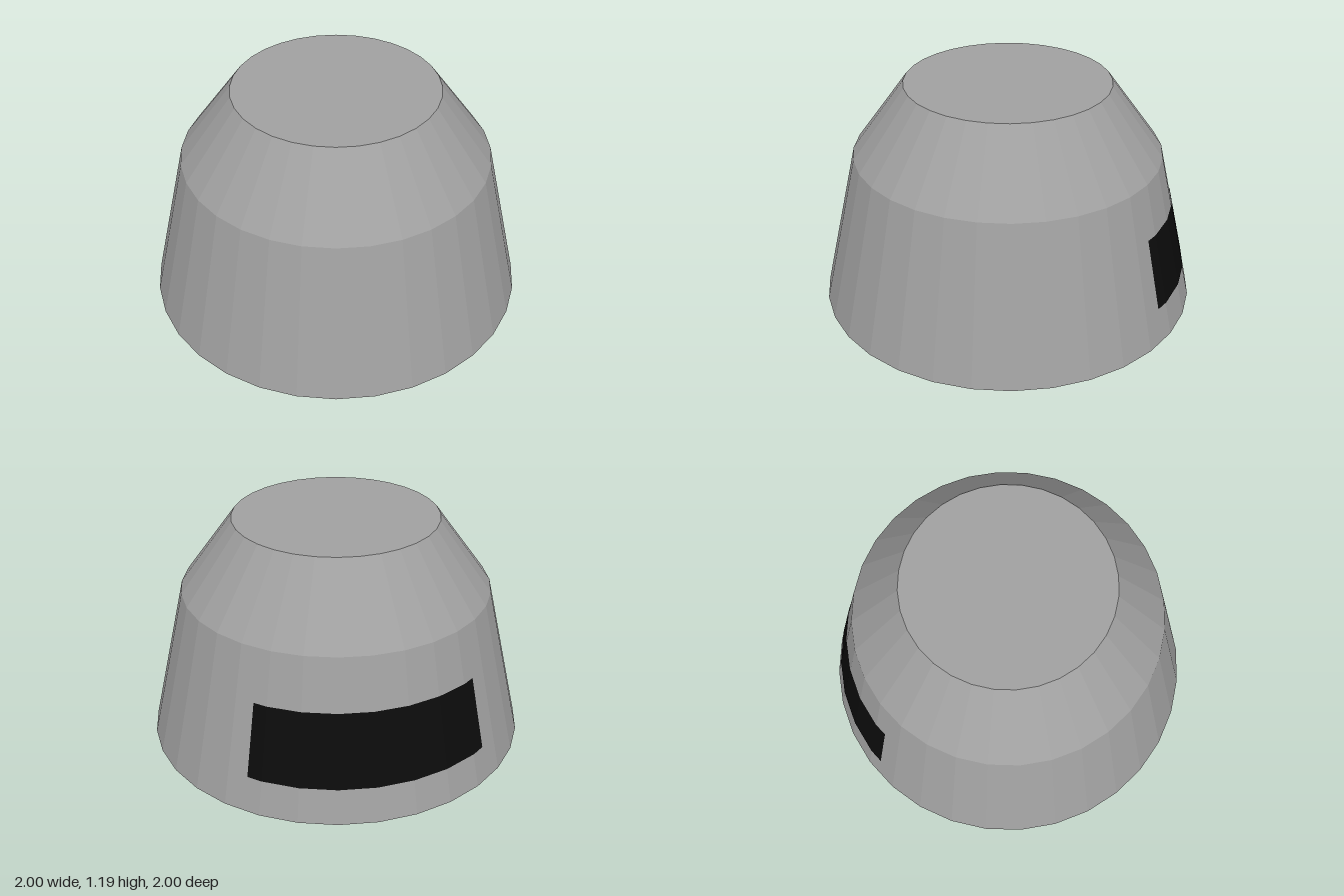
import * as THREE from 'three';

const SIDES = 32;
const STEP = (Math.PI * 2) / SIDES;
const BASE_R = 1, SHOULDER_R = 0.81, TOP_R = 0.535;
const SHOULDER_Y = 0.815, TOP_Y = 1.19;

// Radius of the faceted lower wall at a height and an angle from the back
function wallRadius(y, angle) {
  const r = BASE_R + (SHOULDER_R - BASE_R) * (y / SHOULDER_Y);
  const mid = (Math.floor(angle / STEP + 1e-6) + 0.5) * STEP;
  return (r * Math.cos(STEP / 2)) / Math.cos(angle - mid);
}

// Thin band that hugs the facets of the lower wall, centred on the back
function bandGeometry(y0, y1, halfAngle, lift) {
  const angles = [-halfAngle];
  const n = Math.floor(halfAngle / STEP);
  for (let i = -n; i <= n; i++) angles.push(i * STEP);
  angles.push(halfAngle);
  const positions = [], index = [];
  angles.forEach((a, i) => {
    for (const y of [y0, y1]) {
      const r = wallRadius(y, a) + lift;
      positions.push(Math.sin(a) * r, y, -Math.cos(a) * r);
    }
    if (i > 0) {
      const k = i * 2;
      index.push(k - 2, k - 1, k, k, k - 1, k + 1);
    }
  });
  const geometry = new THREE.BufferGeometry();
  geometry.setAttribute('position', new THREE.Float32BufferAttribute(positions, 3));
  geometry.setIndex(index);
  const flat = geometry.toNonIndexed();
  flat.computeVertexNormals();
  return flat;
}

export function createModel() {
  const group = new THREE.Group();
  group.name = 'taperedHousing';

  const grey = new THREE.MeshStandardMaterial({ color: 0xa0a0a0, flatShading: true });
  grey.name = 'grey';
  const black = new THREE.MeshStandardMaterial({ color: 0x0b0b0b, flatShading: true, side: THREE.DoubleSide });
  black.name = 'black';

  // Faceted body: base disc, lower wall, sloped shoulder, flat top
  const profile = [[0, 0], [BASE_R, 0], [SHOULDER_R, SHOULDER_Y], [TOP_R, TOP_Y], [0, TOP_Y]]
    .map(([r, y]) => new THREE.Vector2(r, y));
  const body = new THREE.Mesh(new THREE.LatheGeometry(profile, SIDES), grey);
  body.name = 'body';
  group.add(body);

  // Dark window wrapped around the back
  const panel = new THREE.Mesh(bandGeometry(0.177, 0.55, THREE.MathUtils.degToRad(38.4), 0.003), black);
  panel.name = 'backWindow';
  group.add(panel);

  return group;
}
